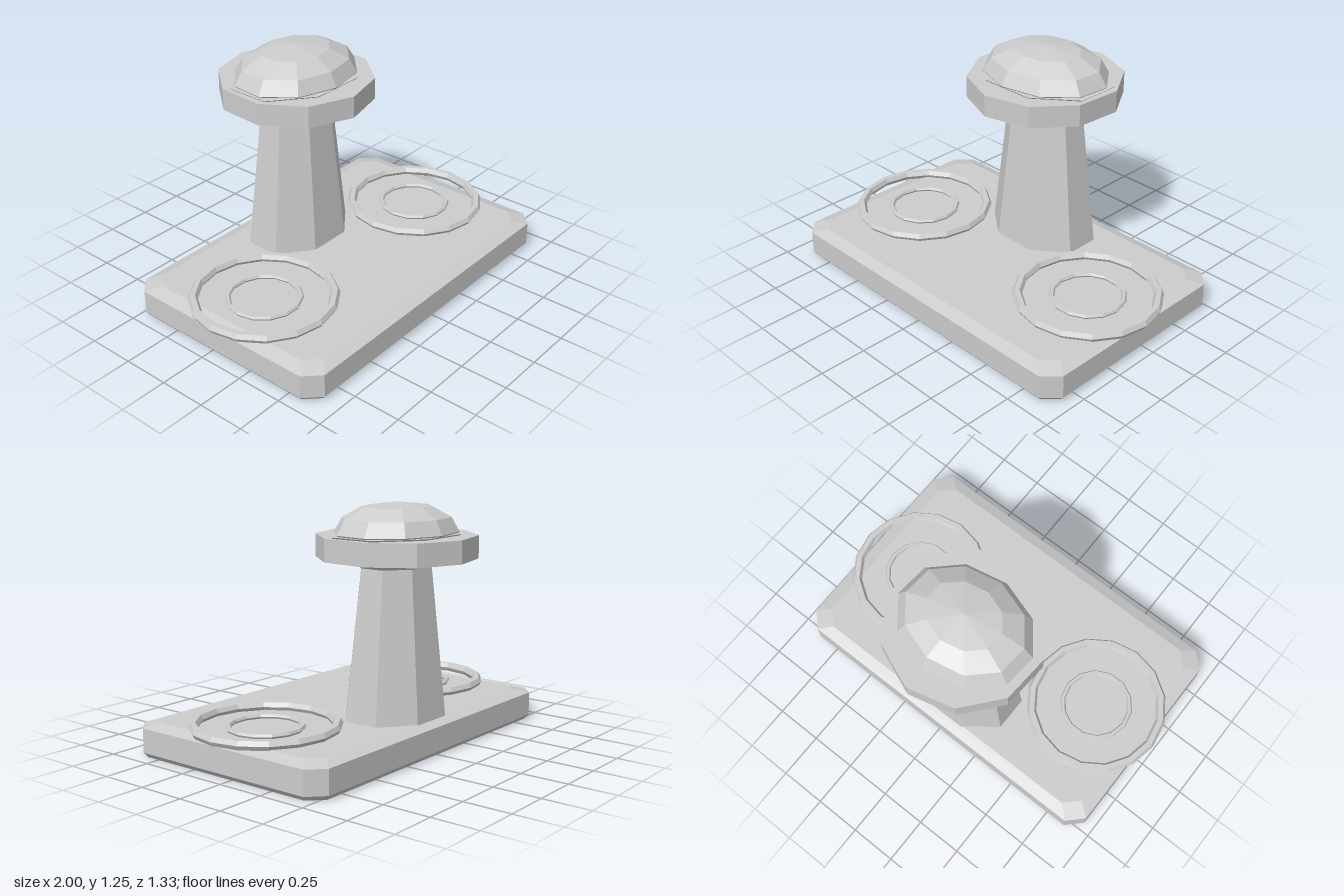
import * as THREE from 'three';

const grey = new THREE.MeshStandardMaterial({ color: 0xcccccc });
grey.name = 'grey';

// Faceted mesh with one normal per face
function part(name, geometry) {
  const flat = geometry.index ? geometry.toNonIndexed() : geometry;
  flat.computeVertexNormals();
  const mesh = new THREE.Mesh(flat, grey);
  mesh.name = name;
  return mesh;
}

// Solid turned from a bottom-to-top [radius, y] profile
function turned(profile, sides, start) {
  const points = profile.map(([r, y]) => new THREE.Vector2(r, y));
  return new THREE.LatheGeometry(points, sides, start);
}

// Slab with cut corners, lofted through [y, halfX, halfZ, cornerCut] layers
function slab(layers) {
  const pos = [];
  const rings = layers.map(([y, x, z, c]) => [
    [x, y, z - c], [x, y, -z + c], [x - c, y, -z], [-x + c, y, -z],
    [-x, y, -z + c], [-x, y, z - c], [-x + c, y, z], [x - c, y, z],
  ]);
  for (let k = 0; k < rings.length - 1; k++) {
    const a = rings[k], b = rings[k + 1];
    for (let i = 0; i < 8; i++) {
      const j = (i + 1) % 8;
      pos.push(...a[i], ...a[j], ...b[j], ...a[i], ...b[j], ...b[i]);
    }
  }
  const low = rings[0], high = rings[rings.length - 1];
  for (let i = 1; i < 7; i++) {
    pos.push(...high[0], ...high[i], ...high[i + 1]);
    pos.push(...low[0], ...low[i + 1], ...low[i]);
  }
  const geometry = new THREE.BufferGeometry();
  geometry.setAttribute('position', new THREE.Float32BufferAttribute(pos, 3));
  return geometry;
}

export function createModel() {
  const model = new THREE.Group();
  model.name = 'pedestalStand';

  // Base plate with bevelled edges
  const base = part('basePlate', slab([
    [0, 0.925, 0.582, 0.072],
    [0.025, 0.945, 0.602, 0.08],
    [0.15, 0.945, 0.602, 0.08],
    [0.172, 0.872, 0.54, 0.075],
  ]));
  base.position.z = 0.063;
  model.add(base);

  // Column parts share one axis towards the back
  const column = new THREE.Group();
  column.name = 'column';
  column.position.z = -0.26;
  model.add(column);

  // Tapered eight-sided pillar flaring into a collar, narrower in depth
  const k = 1 / Math.cos(Math.PI / 8);
  const pillar = turned([
    [0, 0.16], [0.289 * k, 0.16], [0.2 * k, 0.93], [0.363 * k, 1.092], [0, 1.092],
  ], 8, Math.PI / 8);
  pillar.scale(1, 1, 0.78);
  const pillarMesh = part('pillar', pillar);
  column.add(pillarMesh);

  // Ten-sided brim, turned slightly off axis
  const turn = THREE.MathUtils.degToRad(-4);
  column.add(part('brim', turned([
    [0, 0.97], [0.406, 0.97], [0.406, 1.085], [0, 1.085],
  ], 10, turn)));

  // Oval faceted dome
  const dome = turned([
    [0, 1.086], [0.352, 1.086], [0.362, 1.098], [0.315, 1.17], [0.2, 1.225], [0, 1.247],
  ], 10, turn);
  dome.scale(1, 1, 0.8);
  column.add(part('dome', dome));

  // Pair of concentric rings on each side
  for (const [side, sign] of [['left', 1], ['right', -1]]) {
    const rings = new THREE.Group();
    rings.name = side + 'Rings';
    rings.position.set(sign * 0.62, 0, 0.063);
    const outer = part('outerRing', new THREE.TorusGeometry(0.353, 0.026, 6, 16).rotateX(Math.PI / 2));
    outer.position.y = 0.19;
    const inner = part('innerRing', new THREE.TorusGeometry(0.183, 0.014, 6, 14).rotateX(Math.PI / 2));
    inner.position.y = 0.182;
    rings.add(outer, inner);
    model.add(rings);
  }

  return model;
}
